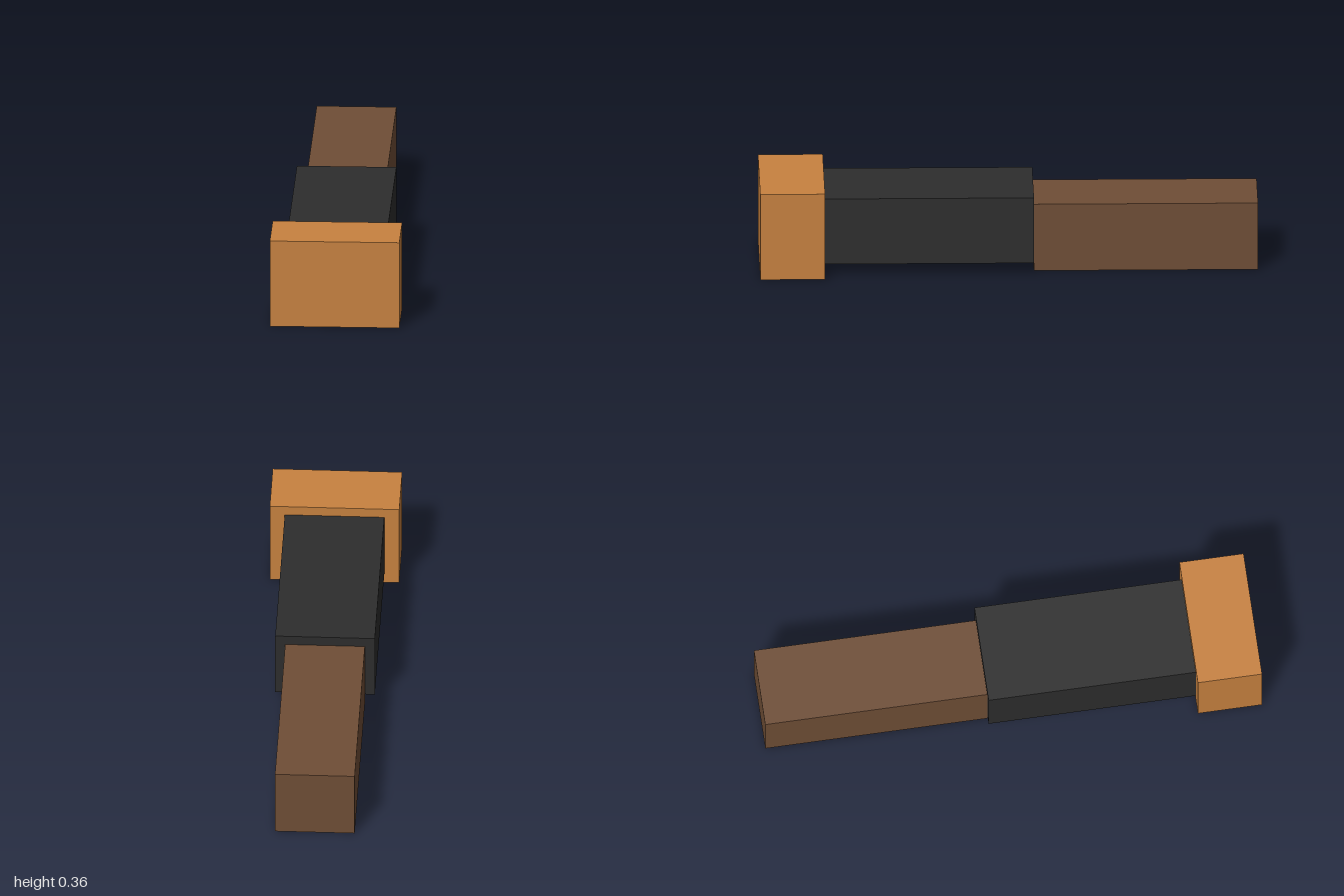
import * as THREE from 'three';

function paint(name, color) {
  const m = new THREE.MeshStandardMaterial({ color });
  m.name = name;
  return m;
}

// Box given by its half width and its extents in y and z
function block(name, material, halfWidth, [y0, y1], [z0, z1]) {
  const mesh = new THREE.Mesh(new THREE.BoxGeometry(halfWidth * 2, y1 - y0, z1 - z0), material);
  mesh.position.set(0, (y0 + y1) / 2, (z0 + z1) / 2);
  mesh.name = name;
  return mesh;
}

export function createModel() {
  const model = new THREE.Group();
  model.name = 'steppedBar';
  model.add(
    // wide end block at the front
    block('frontCap', paint('tan', 0xc88240), 0.26, [0, 0.36], [0.74, 1]),
    // raised dark middle section
    block('middleSleeve', paint('charcoal', 0x2d2d2d), 0.2, [0.045, 0.32], [-0.1, 0.74]),
    // narrow rear section
    block('rearShaft', paint('brown', 0x6f4e36), 0.16, [0, 0.28], [-1, -0.1])
  );
  return model;
}
